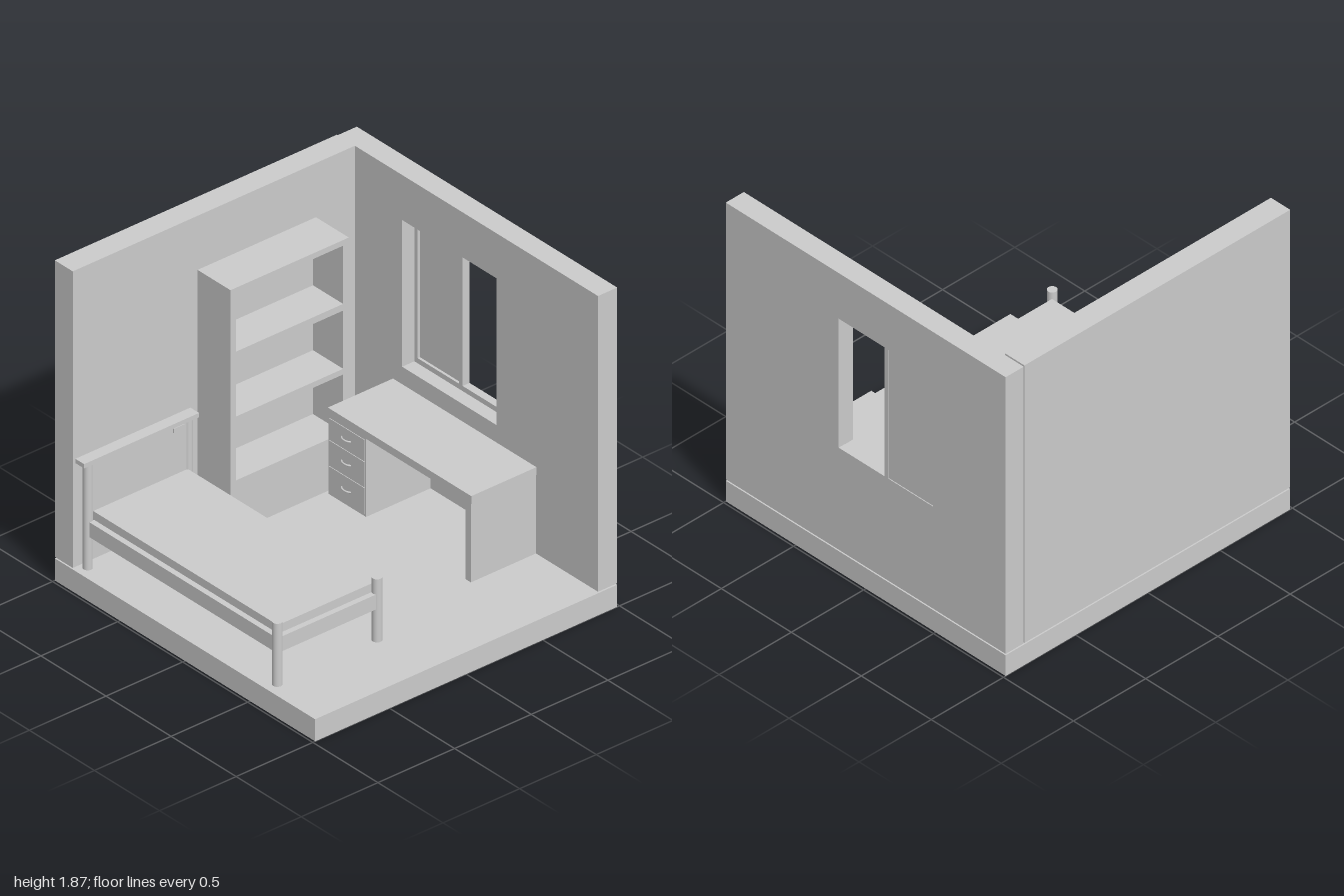
import * as THREE from 'three';

const mat = new THREE.MeshStandardMaterial({ color: 0xcccccc });

function add(parent, name, geo, x = 0, y = 0, z = 0) {
  const mesh = new THREE.Mesh(geo, mat);
  mesh.name = name;
  mesh.position.set(x, y, z);
  parent.add(mesh);
  return mesh;
}

// Box given by its limits on each axis
function box(parent, name, [x0, x1], [y0, y1], [z0, z1]) {
  return add(parent, name, new THREE.BoxGeometry(x1 - x0, y1 - y0, z1 - z0),
    (x0 + x1) / 2, (y0 + y1) / 2, (z0 + z1) / 2);
}

function post(parent, name, x, z, y0, y1, r) {
  return add(parent, name, new THREE.CylinderGeometry(r, r, y1 - y0, 20), x, (y0 + y1) / 2, z);
}

function rect(Type, x0, x1, y0, y1) {
  return new Type([[x0, y0], [x1, y0], [x1, y1], [x0, y1]].map(p => new THREE.Vector2(...p)));
}

// Upright slab in the xy plane with rectangular openings
function slab(parent, name, outer, holes, z0, z1) {
  const shape = rect(THREE.Shape, ...outer);
  shape.holes = holes.map(h => rect(THREE.Path, ...h));
  return add(parent, name, new THREE.ExtrudeGeometry(shape, { depth: z1 - z0, bevelEnabled: false }), 0, 0, z0);
}

function group(parent, name) {
  const g = new THREE.Group();
  g.name = name;
  parent.add(g);
  return g;
}

function buildRoom(root) {
  const room = group(root, 'room');
  box(room, 'floor', [-1, 1], [0, 0.129], [-0.985, 0.985]);
  box(room, 'leftWall', [-1, -0.862], [0.138, 1.87], [-0.855, 0.985]);
  slab(room, 'backWall', [-1, 1, 0.138, 1.865], [[-0.505, 0.22, 0.745, 1.602]], -0.985, -0.86);

  // Window: two-light frame set to the outer side, one light closed
  const win = group(room, 'window');
  slab(win, 'windowFrame', [-0.505, 0.22, 0.745, 1.602],
    [[-0.48, -0.162, 0.775, 1.58], [-0.134, 0.193, 0.775, 1.58]], -0.985, -0.94);
  box(win, 'windowPane', [-0.48, -0.162], [0.775, 1.58], [-0.98, -0.955]);
}

function buildBookcase(root) {
  const g = group(root, 'bookcase');
  const x = [-0.861, -0.608];
  box(g, 'bookcaseBase', x, [0.13, 0.43], [-0.6, 0.172]);
  for (const z of [[-0.6, -0.563], [0.137, 0.172]]) box(g, 'bookcaseSide', x, [0.43, 1.555], z);
  box(g, 'bookcaseBack', [-0.861, -0.84], [0.43, 1.52], [-0.563, 0.137]);
  for (const y of [[0.77, 0.803], [1.143, 1.182], [1.522, 1.555]]) {
    box(g, 'shelf', x, y, [-0.563, 0.137]);
  }
}

function buildDesk(root) {
  const g = group(root, 'desk');
  const z = [-0.853, -0.428];
  box(g, 'deskTop', [-0.567, 0.535], [0.605, 0.65], z);
  box(g, 'deskSide', [0.49, 0.532], [0.145, 0.605], z);
  box(g, 'drawerCabinet', [-0.567, -0.278], [0.145, 0.605], [-0.853, -0.432]);

  // Drawer fronts with bowed pulls
  const pull = new THREE.CatmullRomCurve3([[-0.036, 0], [-0.022, 0.011], [0, 0.015], [0.022, 0.011], [0.036, 0]]
    .map(([px, pz]) => new THREE.Vector3(px, 0, pz)));
  for (const [y0, y1, h] of [[0.16, 0.311, 0.236], [0.316, 0.463, 0.392], [0.468, 0.592, 0.53]]) {
    box(g, 'drawerFront', [-0.56, -0.285], [y0, y1], [-0.44, -0.428]);
    add(g, 'drawerPull', new THREE.TubeGeometry(pull, 16, 0.005, 8), -0.427, h, -0.43);
  }
}

function buildBed(root) {
  const g = group(root, 'bed');
  const headX = -0.81, footX = 0.64;
  for (const z of [0.278, 0.932]) {
    post(g, 'headPost', headX, z, 0.142, 0.765, 0.025);
  }
  for (const z of [0.276, 0.926]) {
    post(g, 'footPost', footX, z, 0.142, 0.51, 0.027);
  }
  box(g, 'headRail', [-0.842, -0.775], [0.76, 0.785], [0.235, 0.985]);
  box(g, 'headboard', [-0.822, -0.797], [0.335, 0.76], [0.278, 0.932]);
  box(g, 'headboardPlate', [-0.797, -0.789], [0.72, 0.746], [0.315, 0.387]);
  for (const z of [[0.258, 0.29], [0.907, 0.94]]) {
    box(g, 'sideRail', [-0.79, 0.625], [0.335, 0.422], z);
  }
  box(g, 'footRail', [0.625, 0.657], [0.335, 0.422], [0.29, 0.91]);
  box(g, 'mattress', [-0.797, 0.622], [0.36, 0.47], [0.29, 0.907]);
}

export function createModel() {
  const root = new THREE.Group();
  root.name = 'bedroom';
  buildRoom(root);
  buildBookcase(root);
  buildDesk(root);
  buildBed(root);
  return root;
}
